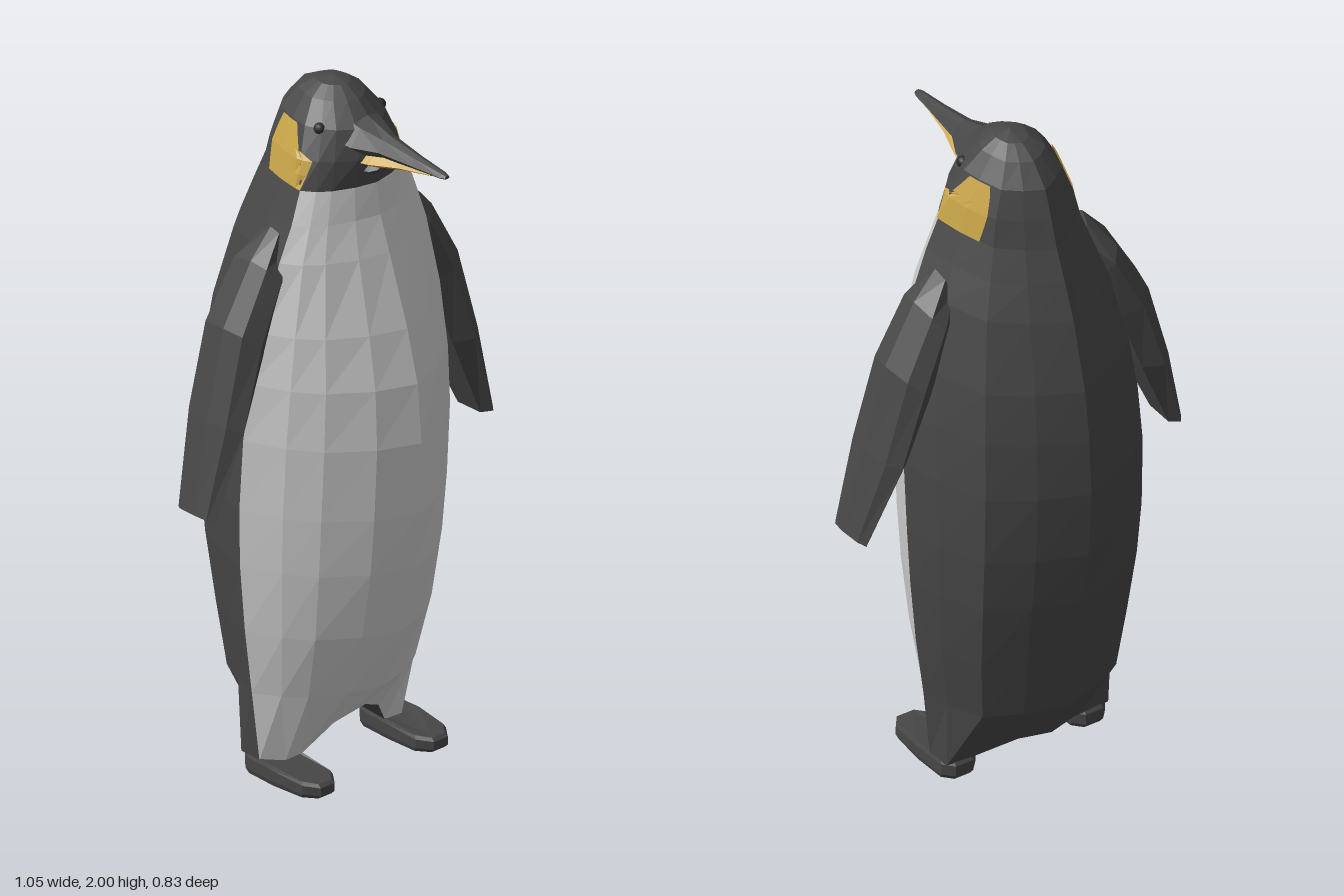
import * as THREE from 'three';

const mat = (name, color) => Object.assign(new THREE.MeshStandardMaterial({ color }), { name });

// Faceted mesh from a flat list of corner points
function facets(name, pts, material) {
  const g = new THREE.BufferGeometry();
  g.setAttribute('position', new THREE.Float32BufferAttribute(pts.flat(), 3));
  g.computeVertexNormals();
  const mesh = new THREE.Mesh(g, material);
  mesh.name = name;
  return mesh;
}

const quad = (out, a, b, c, d) => out.push(a, b, c, a, c, d);

// Join closed rings (counter-clockwise seen from the end they advance to)
function loft(name, rings, material, { keep = () => true, caps = true } = {}) {
  const out = [];
  const n = rings[0].length;
  for (let i = 0; i < rings.length - 1; i++)
    for (let j = 0; j < n; j++) {
      const k = (j + 1) % n;
      if (keep(i, j)) quad(out, rings[i][j], rings[i][k], rings[i + 1][k], rings[i + 1][j]);
    }
  if (caps) {
    const a = rings[0], b = rings[rings.length - 1];
    for (let j = 1; j < n - 1; j++) out.push(a[0], a[j + 1], a[j], b[0], b[j], b[j + 1]);
  }
  return facets(name, out, material);
}

// Same rings on the other side of the body
const mirror = (rings) => rings.map((r) => r.map(([x, y, z]) => [-x, y, z]).reverse());

// Body levels: height, half width, front z, back z, z of the belly edge
const LEVELS = [
  [0.26, 0.285, 0.165, -0.3, -0.04],
  [0.45, 0.31, 0.24, -0.335, -0.04],
  [0.65, 0.328, 0.285, -0.375, -0.04],
  [0.82, 0.335, 0.305, -0.4, -0.035],
  [1.03, 0.335, 0.315, -0.415, -0.02],
  [1.2, 0.325, 0.3, -0.405, 0],
  [1.35, 0.305, 0.26, -0.385, 0.02],
  [1.55, 0.26, 0.19, -0.33, 0.04],
  [1.65, 0.22, 0.155, -0.29, 0.045],
  [1.74, 0.185, 0.14, -0.25, 0.04],
  [1.82, 0.165, 0.15, -0.225, 0.02],
  [1.9, 0.13, 0.13, -0.195, 0],
  [1.96, 0.085, 0.07, -0.14, -0.02],
  [1.988, 0.045, 0.025, -0.085, -0.025],
  [2.0, 0, -0.025, -0.025, -0.025],
];
const NECK = 10; // ring row where the belly ends
// Half section, front to back: share of the width, share of the depth
const SECTION = [[0, 1], [0.35, 0.86], [0.68, 0.6], [0.86, 0.35], [1, 0],
  [0.92, -0.3], [0.75, -0.67], [0.4, -0.86], [0, -1]];

const halfRing = ([y, w, zf, zb, zs]) =>
  SECTION.map(([u, t]) => [u * w, y, t > 0 ? zs + t * (zf - zs) : zs + t * (zs - zb)]);
const fullRing = (half) => [...half, ...half.slice(1, -1).reverse().map(([x, y, z]) => [-x, y, z])];

// Half width of the body at a given height and depth
function sideX(y, z) {
  const i = Math.max(0, LEVELS.findIndex((l) => l[0] >= y) - 1);
  const f = (y - LEVELS[i][0]) / (LEVELS[i + 1][0] - LEVELS[i][0]);
  const p = halfRing(LEVELS[i].map((v, k) => v + f * (LEVELS[i + 1][k] - v)));
  for (let j = 0; j < 8; j++)
    if (z <= p[j][2] && z >= p[j + 1][2]) {
      const s = (z - p[j][2]) / (p[j + 1][2] - p[j][2] || 1);
      return p[j][0] + s * (p[j + 1][0] - p[j][0]);
    }
  return 0;
}

// Beak ring at z: half width, top and bottom heights
const beakRing = ([z, w, top, bot]) => {
  const h = top - bot;
  return [[w, bot + 0.35 * h, z], [0.55 * w, top - 0.15 * h, z], [0, top, z], [-0.55 * w, top - 0.15 * h, z],
    [-w, bot + 0.35 * h, z], [-0.5 * w, bot, z], [0.5 * w, bot, z]];
};

export function createModel() {
  const model = new THREE.Group();
  const dark = mat('charcoal feathers', 0x474747);
  const white = mat('pale belly', 0xcccccc);
  const gold = mat('golden markings', 0xc8a548);
  const black = mat('eye black', 0x2a2a2a);
  gold.side = THREE.DoubleSide;

  // Body: the lowest ring drops into two legs with an arch between them
  const hem = [[0, 0.18, 0.095], [0.08, 0.14, 0.06], [0.15, 0.055, 0.01], [0.21, 0.055, 0.012], [0.262, 0.055, -0.035],
    [0.258, 0.055, -0.11], [0.16, 0.055, -0.115], [0.09, 0.13, -0.2], [0, 0.13, -0.225]];
  const rings = [hem, ...LEVELS.map(halfRing)].map(fullRing);
  const isBelly = (i, j) => i < NECK && (j < 4 || j > 11);
  model.add(loft('belly', rings, white, { keep: isBelly, caps: false }));
  model.add(loft('backAndHead', rings, dark, { keep: (i, j) => !isBelly(i, j), caps: false }));

  // Underside between the legs
  const under = [];
  const at = (j) => rings[0][(j + 16) % 16];
  for (let j = -4; j < 4; j++) quad(under, at(j), at(8 - j), at(7 - j), at(j + 1));
  model.add(facets('underside', under, dark));

  // Beak
  model.add(loft('upperBeak', [[0.04, 0.1, 1.95, 1.84], [0.12, 0.075, 1.92, 1.825], [0.19, 0.04, 1.897, 1.835],
    [0.3, 0.025, 1.877, 1.84], [0.4, 0.015, 1.863, 1.845], [0.415, 0.009, 1.858, 1.848]].map(beakRing), dark));
  model.add(loft('lowerBeak', [[0.08, 0.058, 1.84, 1.785], [0.16, 0.05, 1.842, 1.8], [0.25, 0.026, 1.845, 1.82],
    [0.36, 0.012, 1.85, 1.839]].map(beakRing), gold));
  model.add(loft('chin', [[0.08, 0.05, 1.82, 1.755], [0.15, 0.04, 1.812, 1.772],
    [0.172, 0.025, 1.806, 1.79]].map(beakRing), dark));

  // Flipper sections, tip first: outer x and y, inner x and y, front z, back z
  const flipper = [[0.523, 0.875, 0.482, 0.857, 0.055, -0.092], [0.465, 1.13, 0.375, 1.1, 0.075, -0.14],
    [0.4, 1.38, 0.3, 1.3, 0.068, -0.145], [0.305, 1.55, 0.24, 1.45, 0.06, -0.125],
    [0.235, 1.63, 0.18, 1.5, 0.02, -0.07]].map(([ox, oy, ix, iy, zf, zb]) => {
    const p = (u, v) => [ix + u * (ox - ix), iy + u * (oy - iy), zb + v * (zf - zb)];
    return [p(0.5, 1), p(0.9, 0.85), p(1, 0.55), p(0.85, 0.15), p(0.5, 0), p(0, 0.2), p(0, 0.8)];
  });

  // Foot outline, swept from the sole to a top that slopes down to the toes
  const outline = [[0.18, 0.17], [0.23, 0.17], [0.26, 0.13], [0.268, 0.02], [0.262, -0.09], [0.235, -0.12],
    [0.18, -0.12], [0.153, -0.09], [0.147, 0.02], [0.15, 0.13]];
  const footRing = (s, h) => outline.map(([x, z]) =>
    [0.207 + (x - 0.207) * s, h * (0.06 - 0.1 * Math.max(0, z)), 0.025 + (z - 0.025) * s]);
  const foot = [footRing(0.92, 0), footRing(1, 0.25), footRing(1, 0.8), footRing(0.93, 1)];

  // Cheek patch rows: height, front z, back z
  const cheek = [[1.742, 0.042, -0.112], [1.78, 0.048, -0.117], [1.819, 0.054, -0.121], [1.84, 0.008, -0.117],
    [1.87, -0.012, -0.11], [1.899, -0.03, -0.1]].map(([y, zf, zb]) =>
    Array.from({ length: 9 }, (_, k) => {
      const z = zf + (zb - zf) * k / 8;
      return [sideX(y, z) + 0.005, y, z];
    }));

  for (const [side, s] of [['left', 1], ['right', -1]]) {
    const flip = (r) => (s > 0 ? r : mirror(r));
    model.add(loft(side + 'Flipper', flip(flipper), dark));
    model.add(loft(side + 'Foot', flip(foot), dark));

    const patch = [];
    const rows = flip(cheek);
    for (let i = 0; i < rows.length - 1; i++)
      for (let k = 0; k < 8; k++) quad(patch, rows[i][k], rows[i][k + 1], rows[i + 1][k + 1], rows[i + 1][k]);
    model.add(facets(side + 'CheekPatch', patch, gold));

    const eye = new THREE.Mesh(new THREE.SphereGeometry(0.017, 10, 8), black);
    eye.name = side + 'Eye';
    eye.position.set(s * 0.109, 1.897, 0.035);
    model.add(eye);
  }
  return model;
}
